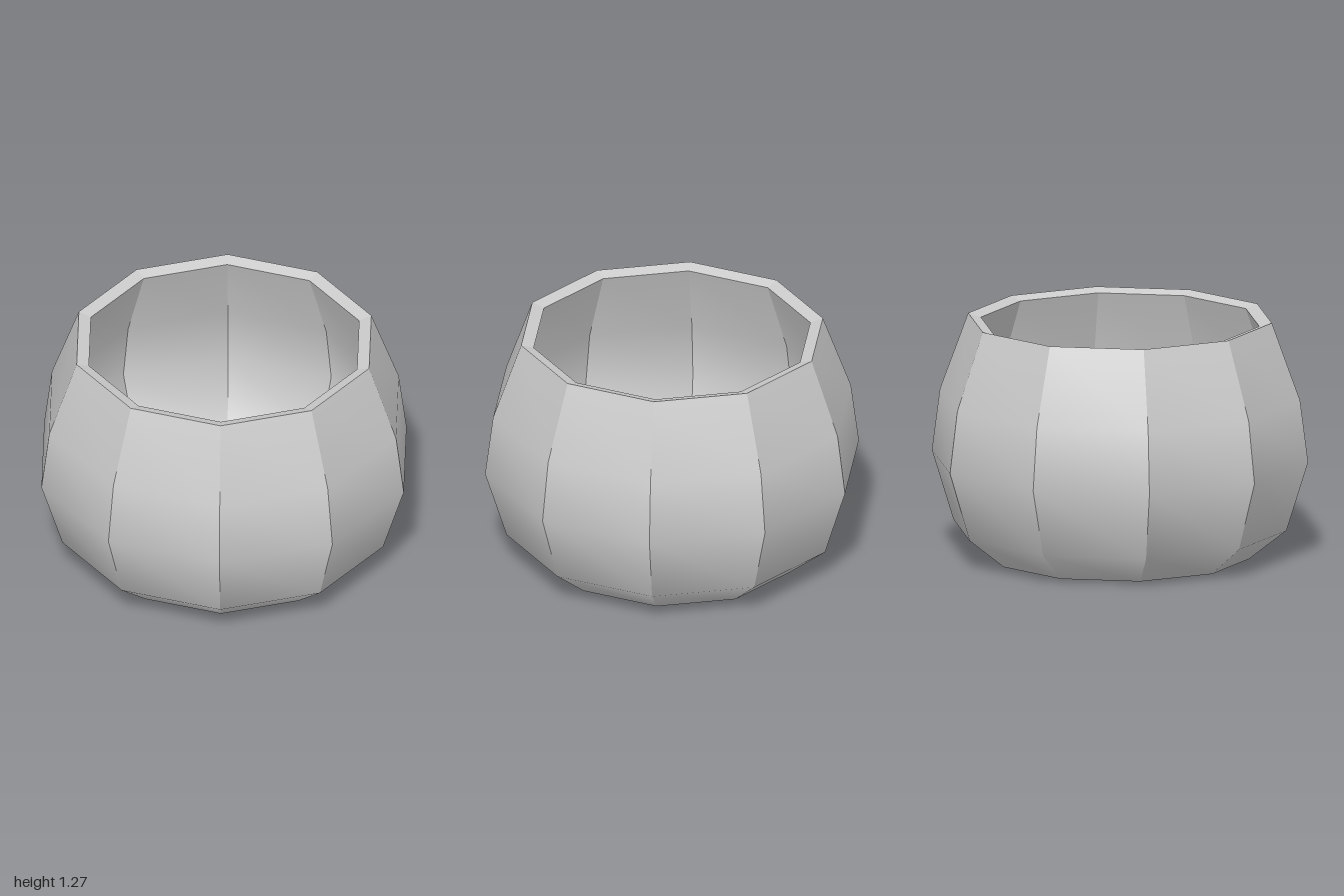
import * as THREE from 'three';
import { mergeGeometries } from 'three/addons/utils/BufferGeometryUtils.js';

const SIDES = 10;
const STEP = (Math.PI * 2) / SIDES;

// Ten separate panels: smooth along the profile, sharp at the corners.
function panelRing(profile) {
  const points = profile.map(([r, y]) => new THREE.Vector2(r, y));
  const panels = [];
  for (let i = 0; i < SIDES; i++) {
    const panel = new THREE.LatheGeometry(points, 1, Math.PI / 2 + i * STEP, STEP);
    panel.computeVertexNormals();
    panels.push(panel);
  }
  return mergeGeometries(panels);
}

// Flat ten-sided disc facing up or down.
function disc(radius, y, up) {
  const g = new THREE.CircleGeometry(radius, SIDES);
  g.rotateX(up ? -Math.PI / 2 : Math.PI / 2);
  g.translate(0, y, 0);
  return g;
}

export function createModel() {
  const group = new THREE.Group();
  group.name = 'bowl';
  const material = new THREE.MeshStandardMaterial({ color: 0xcccccc });
  const add = (name, geometry) => {
    const mesh = new THREE.Mesh(geometry, material);
    mesh.name = name;
    group.add(mesh);
  };

  // Outer wall, from the base up
  add('outerWall', panelRing([[0.685, 0], [0.885, 0.16], [1, 0.53], [0.957, 0.86], [0.807, 1.27]]));
  // Rim, sloping slightly inwards
  add('rim', panelRing([[0.807, 1.27], [0.74, 1.25]]));
  // Inner wall, from the rim down
  add('innerWall', panelRing([[0.74, 1.25], [0.885, 0.85], [0.928, 0.54], [0.827, 0.21], [0.66, 0.07]]));
  add('floor', disc(0.66, 0.07, true));
  add('base', disc(0.685, 0, false));

  return group;
}
